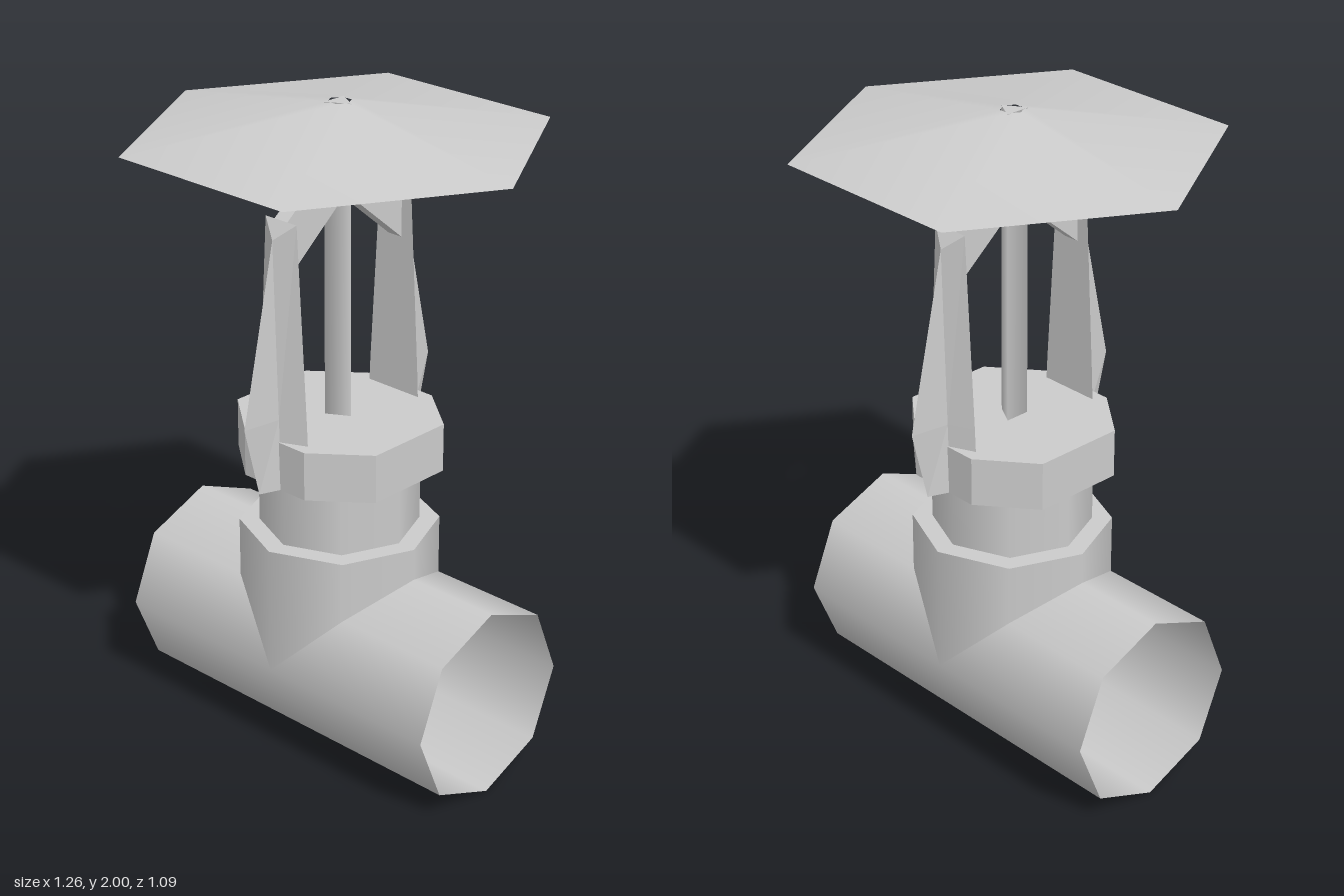
import * as THREE from 'three';

const smooth = new THREE.MeshStandardMaterial({ color: 0xcccccc, side: THREE.DoubleSide });
const flat = new THREE.MeshStandardMaterial({ color: 0xcccccc, flatShading: true, side: THREE.DoubleSide });

function addMesh(parent, name, geometry, material, y = 0) {
  const mesh = new THREE.Mesh(geometry, material);
  mesh.name = name;
  mesh.position.y = y;
  parent.add(mesh);
  return mesh;
}

// Yoke leg: flanged inner face with a sharp outer fin, lofted through a few levels
function legGeometry() {
  const inner = 0.235, rib = 0.27;
  const levels = [ // rib height, flange height, flange half width, fin half width, ridge depth
    [0.9, 0.9, 0.105, 0.025, 0.335],
    [1.12, 1.12, 0.095, 0.018, 0.39],
    [1.66, 1.71, 0.06, 0, 0.27],
  ];
  const rings = levels.map(([y, yf, w, f, d]) => [
    [-w, yf, inner], [-f, y, rib], [0, y, d], [f, y, rib], [w, yf, inner],
  ]);
  const pos = [];
  const tri = (a, b, c) => pos.push(...a, ...b, ...c);
  const n = 5;
  for (let r = 0; r < rings.length - 1; r++) {
    const lo = rings[r], hi = rings[r + 1];
    for (let i = 0; i < n; i++) {
      const j = (i + 1) % n;
      tri(lo[i], lo[j], hi[j]);
      tri(lo[i], hi[j], hi[i]);
    }
  }
  // End caps; the top one is a single sloping triangle
  const base = rings[0], top = rings[2];
  tri(base[0], base[4], base[1]);
  tri(base[1], base[4], base[3]);
  tri(base[1], base[3], base[2]);
  tri(top[0], top[2], top[4]);
  const g = new THREE.BufferGeometry();
  g.setAttribute('position', new THREE.Float32BufferAttribute(pos, 3));
  g.computeVertexNormals();
  return g;
}

// Extrude a polygon and centre it on its depth
function plate(points, depth) {
  const shape = new THREE.Shape(points.map(([x, y]) => new THREE.Vector2(x, y)));
  return new THREE.ExtrudeGeometry(shape, { depth, bevelEnabled: false }).translate(0, 0, -depth / 2);
}

export function createModel() {
  const model = new THREE.Group();
  model.name = 'valve';

  // Open pipe lying along x
  const pipe = new THREE.CylinderGeometry(0.3, 0.3, 1.2, 8, 1, true).rotateZ(Math.PI / 2);
  addMesh(model, 'pipe', pipe, smooth, 0.3);

  // Branch collar, its lower edge cut to saddle over the pipe
  const collar = new THREE.CylinderGeometry(0.3, 0.3, 0.4, 8, 1, true).translate(0, 0.5, 0);
  const p = collar.attributes.position;
  for (let i = 0; i < p.count; i++) {
    if (p.getY(i) < 0.5) p.setY(i, 0.3 + Math.abs(p.getX(i)));
  }
  addMesh(model, 'branchCollar', collar, smooth);
  addMesh(model, 'collarLedge', new THREE.RingGeometry(0.24, 0.3, 8).rotateX(-Math.PI / 2), flat, 0.7);

  // Neck
  addMesh(model, 'neck', new THREE.CylinderGeometry(0.24, 0.24, 0.2, 8, 1, true), smooth, 0.8);

  // Eight-sided bonnet nut
  const nut = plate([
    [0.28, -0.145], [0.28, 0.145], [0.12, 0.273], [-0.12, 0.273],
    [-0.28, 0.145], [-0.28, -0.145], [-0.12, -0.273], [0.12, -0.273],
  ], 0.15).rotateX(-Math.PI / 2);
  addMesh(model, 'bonnetNut', nut, flat, 0.975);

  // Yoke: a leg and a sloping arm on the front and the back
  const leg = legGeometry();
  const arm = plate([[0.03, 1.71], [0.235, 1.54], [0.235, 1.71], [0.03, 1.875]], 0.05).rotateY(-Math.PI / 2);
  ['front', 'back'].forEach((side, i) => {
    const half = new THREE.Group();
    half.name = side + 'Yoke';
    addMesh(half, side + 'Leg', leg, flat);
    addMesh(half, side + 'Arm', arm, flat);
    half.rotation.y = i * Math.PI;
    model.add(half);
  });

  // Three-sided stem
  const stem = new THREE.CylinderGeometry(0.045, 0.045, 0.95, 3, 1, false, Math.PI / 2);
  addMesh(model, 'stem', stem, smooth, 1.525);

  // Handwheel: shallow six-sided cone, open underneath
  const wheel = new THREE.CylinderGeometry(0.035, 0.628, 0.105, 6, 1, true, Math.PI / 2);
  addMesh(model, 'handwheel', wheel, smooth, 1.9475);

  return model;
}
